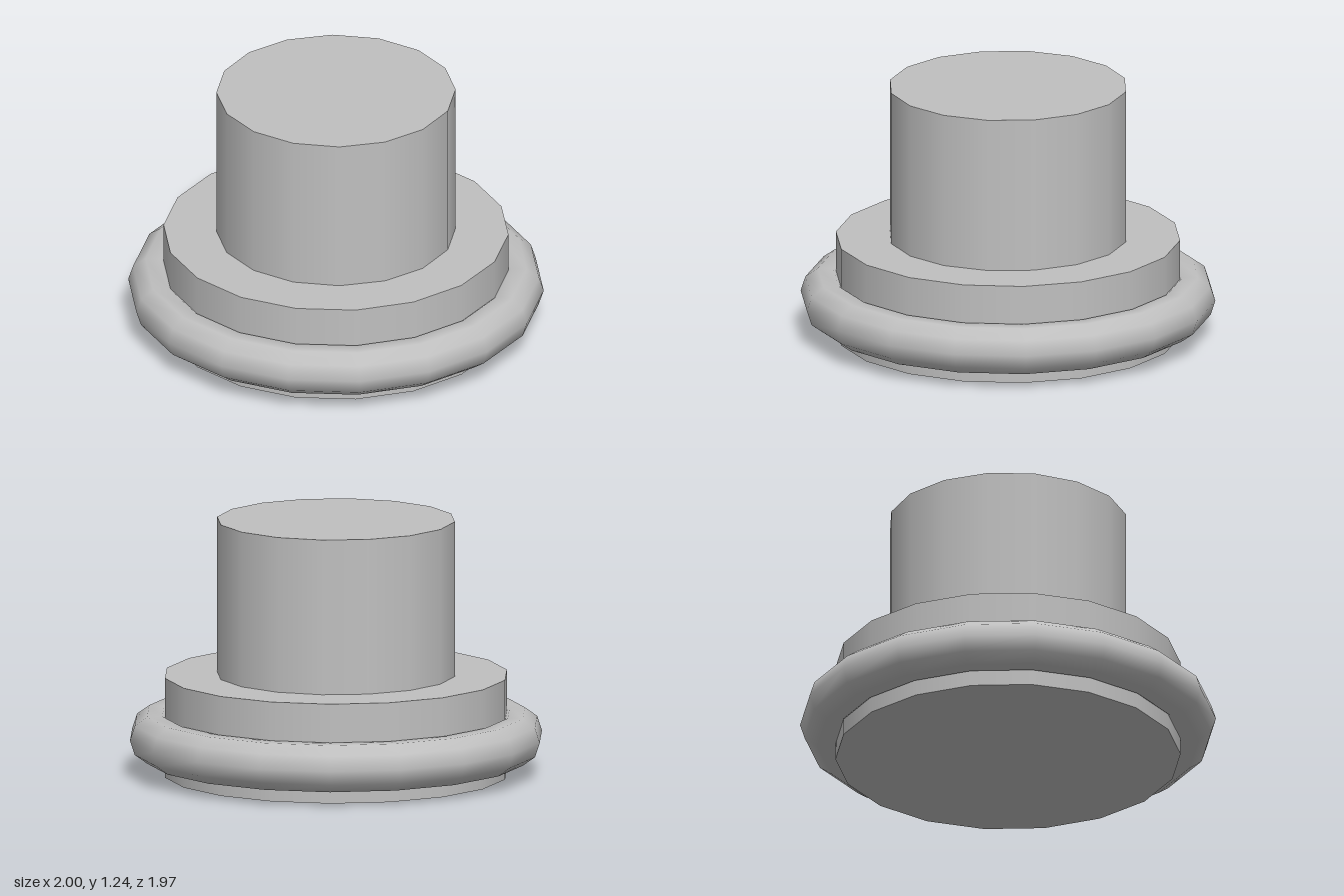
import * as THREE from 'three';

export function createModel() {
  const model = new THREE.Group();
  const grey = new THREE.MeshStandardMaterial({ color: 0xc0c0c0 });
  grey.name = 'grey';

  const add = (name, geometry, y) => {
    const mesh = new THREE.Mesh(geometry, grey);
    mesh.name = name;
    mesh.position.y = y;
    model.add(mesh);
  };

  // Wide base disc, with a corner on the x axis
  add('baseDisc', new THREE.CylinderGeometry(0.83, 0.83, 0.485, 18).rotateY(Math.PI / 2), 0.2425);

  // Rounded ring around the base
  add('ring', new THREE.TorusGeometry(0.88, 0.12, 10, 18).rotateX(Math.PI / 2), 0.185);

  // Upright stem
  add('stem', new THREE.CylinderGeometry(0.575, 0.575, 0.755, 16), 0.8625);

  return model;
}
